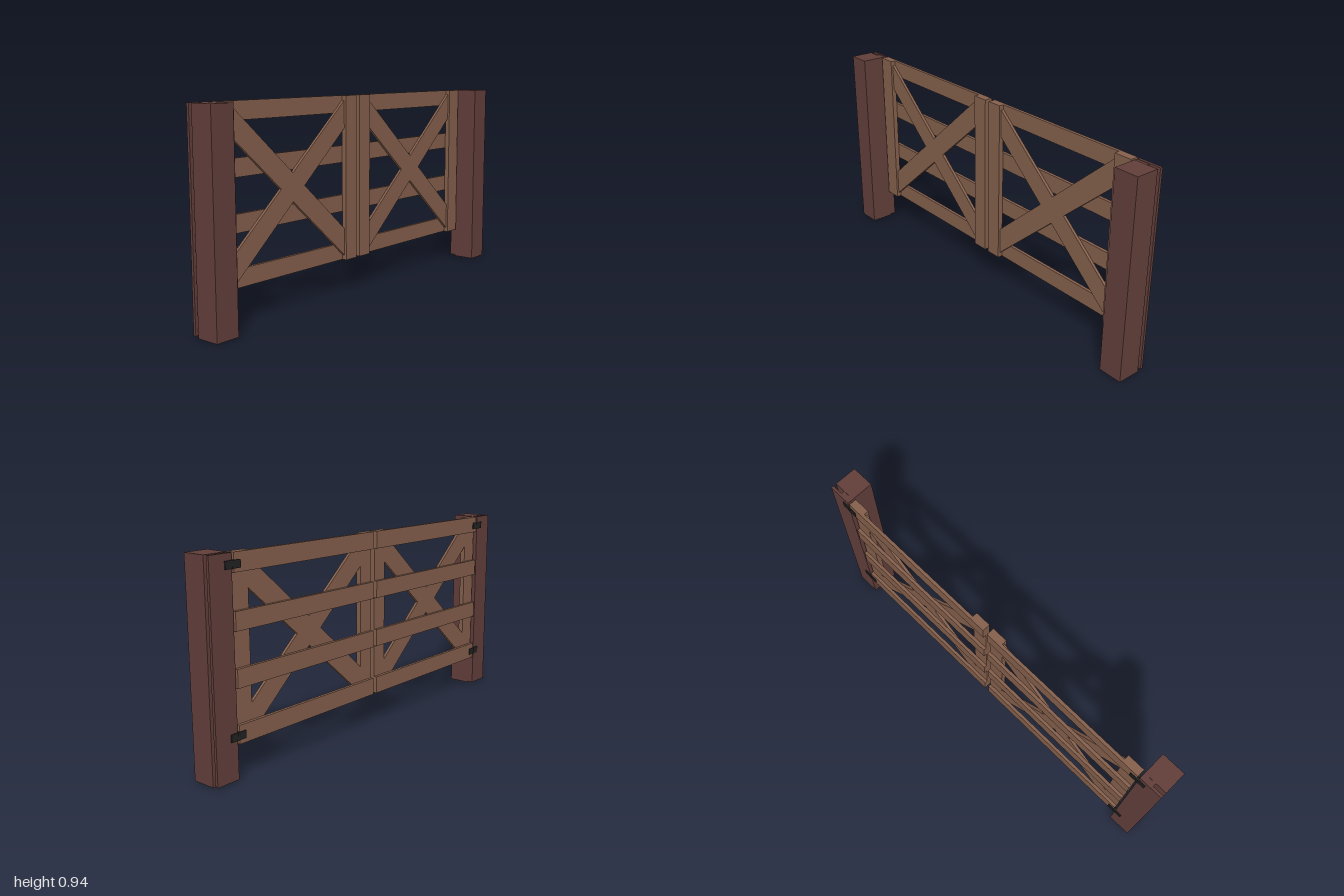
import * as THREE from 'three';

const wood = new THREE.MeshStandardMaterial({ color: 0x85604c });
const postWood = new THREE.MeshStandardMaterial({ color: 0x623f3b });
const iron = new THREE.MeshStandardMaterial({ color: 0x222222 });

// Box given by its limits on each axis
function block(name, material, [x0, x1], [y0, y1], [z0, z1]) {
  const mesh = new THREE.Mesh(new THREE.BoxGeometry(x1 - x0, y1 - y0, z1 - z0), material);
  mesh.position.set((x0 + x1) / 2, (y0 + y1) / 2, (z0 + z1) / 2);
  mesh.name = name;
  return mesh;
}

// X-shaped brace cut flush against the stiles
function crossBrace() {
  const w = 0.35, outer = 0.37, inner = 0.24; // half width, end heights
  const mid = (outer - inner) / 2;            // half of the vertical thickness
  const notch = mid * w / ((outer + inner) / 2);
  const shape = new THREE.Shape([
    [w, inner], [w, outer], [0, mid], [-w, outer], [-w, inner], [-notch, 0],
    [-w, -inner], [-w, -outer], [0, -mid], [w, -outer], [w, -inner], [notch, 0],
  ].map(([x, y]) => new THREE.Vector2(x, y)));
  const mesh = new THREE.Mesh(
    new THREE.ExtrudeGeometry(shape, { depth: 0.014, bevelEnabled: false }), wood);
  mesh.position.set(0.44, 0.549, -0.052);
  mesh.name = 'crossBrace';
  return mesh;
}

// Strap hinge: two leaves on the back and a knuckle in the gap
function hinge(y) {
  const group = new THREE.Group();
  group.name = 'hinge';
  const h = [y - 0.017, y + 0.017];
  group.add(block('gateLeaf', iron, [0.842, 0.878], h, [-0.071, -0.066]));
  group.add(block('postLeaf', iron, [0.882, 0.922], h, [-0.071, -0.066]));
  const knuckle = new THREE.Mesh(new THREE.CylinderGeometry(0.008, 0.008, 0.034, 12), iron);
  knuckle.position.set(0.88, y, -0.065);
  knuckle.name = 'hingeKnuckle';
  group.add(knuckle);
  return group;
}

// One post with its gate leaf, on the +x side
function gateHalf() {
  const half = new THREE.Group();

  // Post with a spacer and a backing plank
  half.add(block('post', postWood, [0.885, 1], [0, 0.942], [-0.037, 0.075]));
  half.add(block('postSpacer', postWood, [0.885, 0.945], [0.006, 0.94], [-0.053, -0.037]));
  half.add(block('postBackPlank', postWood, [0.885, 1], [0.006, 0.942], [-0.066, -0.053]));

  // Horizontal rails at the back
  for (let i = 0; i < 4; i++) {
    const y = 0.156 + i * 0.235;
    half.add(block('rail', wood, [0.012, 0.875], [y, y + 0.081], [-0.067, -0.052]));
  }

  // Upright stiles and brace in front of the rails
  half.add(block('innerStile', wood, [0.012, 0.09], [0.156, 0.942], [-0.052, -0.028]));
  half.add(block('outerStile', wood, [0.79, 0.875], [0.156, 0.942], [-0.052, -0.028]));
  half.add(crossBrace());

  half.add(hinge(0.895), hinge(0.193));
  return half;
}

export function createModel() {
  const model = new THREE.Group();
  model.name = 'doubleGate';

  const left = gateHalf();
  left.name = 'leftGate';

  // Every part is symmetric about its own centre, so mirroring moves it in x
  const right = gateHalf();
  right.name = 'rightGate';
  right.traverse((part) => { part.position.x *= -1; });

  model.add(left, right);
  return model;
}
